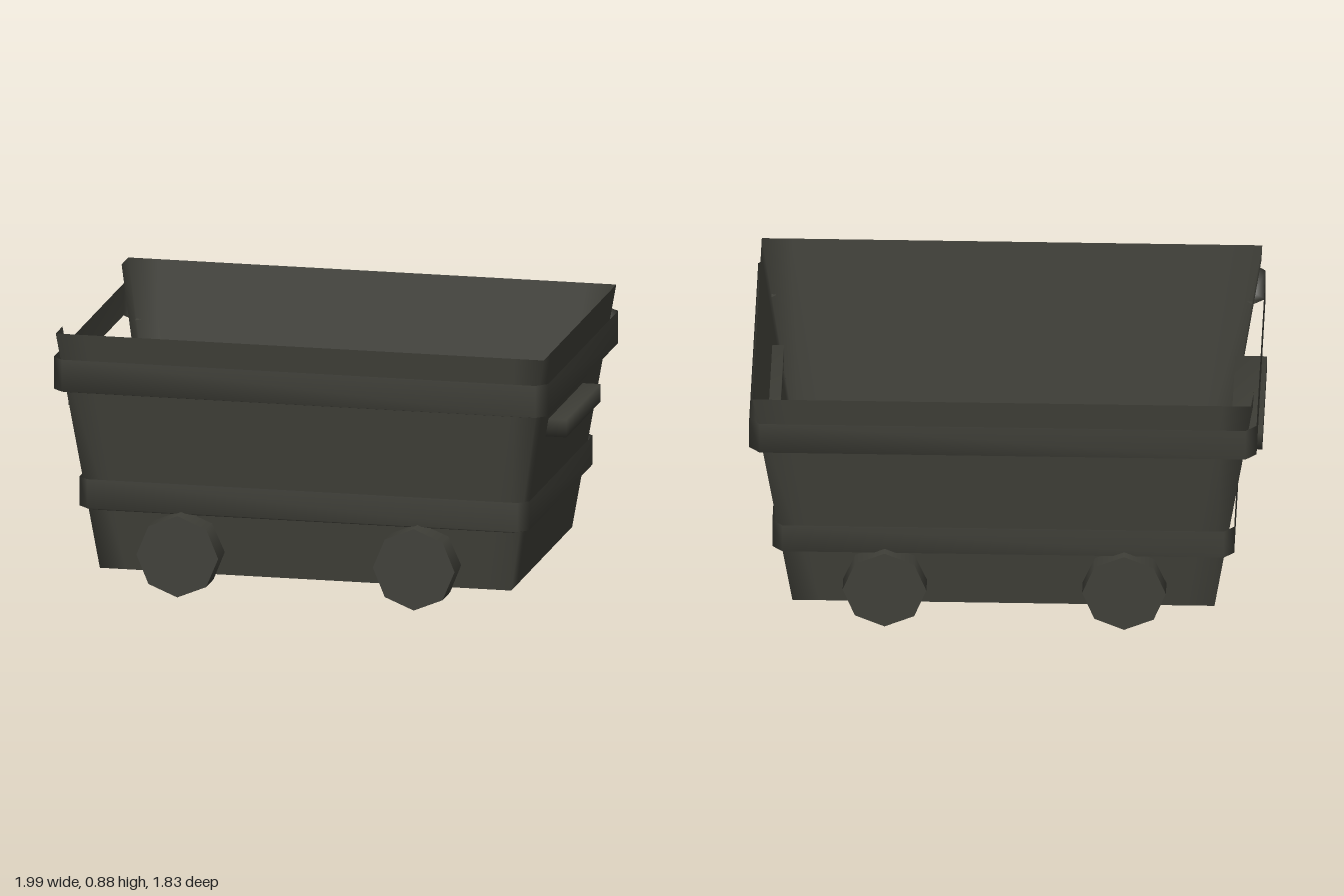
import * as THREE from 'three';
import { mergeVertices } from 'three/addons/utils/BufferGeometryUtils.js';

const FLOOR_Y = 0.065, RIM_Y = 0.885;
// Two-sided because the tub is an open sheet
const iron = new THREE.MeshStandardMaterial({ color: 0x3f3f38, side: THREE.DoubleSide });
iron.name = 'darkIron';

// Half length and half width of the flared tub at a given height
function tubSize(y) {
  const t = (y - FLOOR_Y) / (RIM_Y - FLOOR_Y);
  return [0.705 + 0.131 * t, 0.4525 + 0.0875 * t];
}

// Rectangular ring with a point on each side of every corner, and the corner itself if sharp
function ring(a, b, y, inset, sharp) {
  const points = [];
  [[1, 1], [-1, 1], [-1, -1], [1, -1]].forEach(([sx, sz], i) => {
    const corner = [[a, b - inset]];
    if (sharp) corner.push([a, b]);
    corner.push([a - inset, b]);
    if (i % 2) corner.reverse();
    corner.forEach(([x, z]) => points.push([sx * x, y, sz * z]));
  });
  return points;
}

// Smooth skin over a stack of rings, leaving out one panel of the lowest row
function loft(rings, gap) {
  const n = rings[0].length, index = [];
  for (let r = 0; r < rings.length - 1; r++) {
    for (let i = 0; i < n; i++) {
      if (r === 0 && i === gap) continue;
      const a = r * n + i, b = r * n + (i + 1) % n;
      index.push(a, a + n, b + n, a, b + n, b);
    }
  }
  const geometry = new THREE.BufferGeometry();
  geometry.setAttribute('position', new THREE.Float32BufferAttribute(rings.flat(2), 3));
  geometry.setIndex(index);
  geometry.computeVertexNormals();
  return geometry;
}

// Box with softly shaded edges
function softBox(w, h, d) {
  const box = new THREE.BoxGeometry(w, h, d);
  box.deleteAttribute('normal');
  box.deleteAttribute('uv');
  const merged = mergeVertices(box);
  merged.computeVertexNormals();
  return merged;
}

export function createModel() {
  const model = new THREE.Group();
  model.name = 'mineCart';
  const cart = new THREE.Group();
  cart.name = 'cart';
  cart.rotation.y = THREE.MathUtils.degToRad(34.1);
  model.add(cart);

  const add = (name, geometry, x = 0, y = 0, z = 0) => {
    const mesh = new THREE.Mesh(geometry, iron);
    mesh.name = name;
    mesh.position.set(x, y, z);
    cart.add(mesh);
  };

  // Flared walls, open in the middle of one end
  const foot = ring(...tubSize(FLOOR_Y), FLOOR_Y, 0.09, true);
  const rim = ring(...tubSize(RIM_Y), RIM_Y, 0.1, true);
  add('walls', loft([foot, rim], 5));

  // Floor
  const [fa, fb] = tubSize(FLOOR_Y);
  add('floor', new THREE.PlaneGeometry(2 * fa, 2 * fb).rotateX(-Math.PI / 2), 0, FLOOR_Y, 0);

  // Reinforcing bands with cut corners and a soft lip underneath, except at the open end
  [['lowerBand', 0.28, 0.38, 0.016, 0.034], ['upperBand', 0.69, 0.8, 0.025, 0.036]].forEach(
    ([name, y0, y1, out, cut]) => {
      const [a, b] = tubSize(y1);
      const lip = ring(...tubSize(y0), y0 - 0.01, 0.02, false);
      const bottom = ring(a + out, b + out, y0, cut, false);
      const top = ring(a + out, b + out, y1, cut, false);
      add(name, loft([lip, bottom, top], 3));
    });

  // Eight-sided wheels on both long sides
  const wheel = (name, u, y, inner, outer) => {
    const geometry = new THREE.CylinderGeometry(0.14, 0.14, Math.abs(outer - inner), 8);
    geometry.rotateX(Math.sign(outer) * Math.PI / 2);
    add(name, geometry, u, y, (inner + outer) / 2);
  };
  [-0.415, 0.395].forEach((u) => wheel('frontWheel', u, 0.145, 0.45, 0.56));
  [-0.405, 0.395].forEach((u) => wheel('backWheel', u, 0.155, -0.445, -0.535));

  // Handle bars across the two ends
  add('openEndHandle', softBox(0.105, 0.062, 0.515), -0.807, 0.597, -0.013);
  add('closedEndHandle', softBox(0.1, 0.06, 0.51), 0.805, 0.59, 0.031);

  return model;
}
